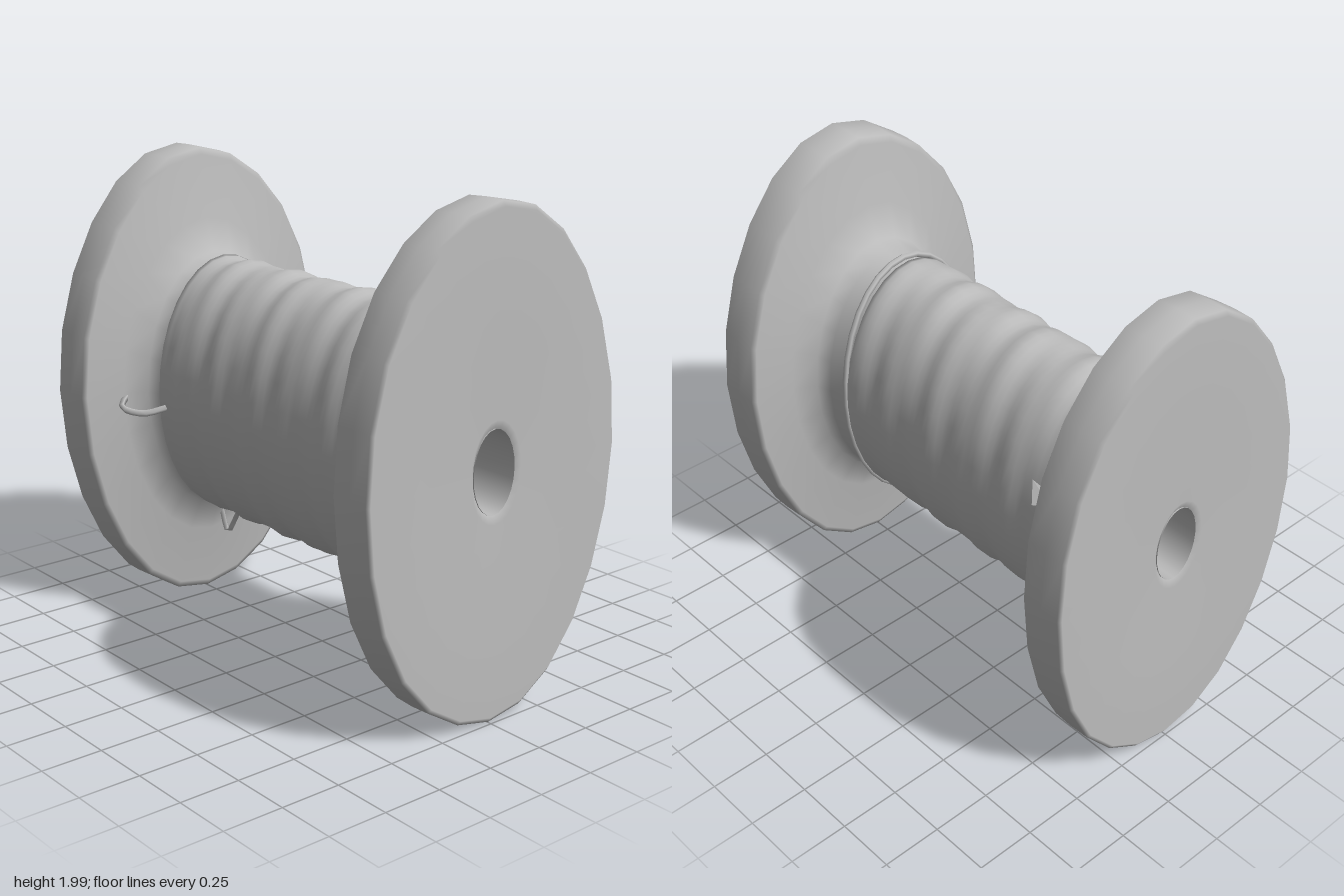
import * as THREE from 'three';
import { mergeVertices } from 'three/addons/utils/BufferGeometryUtils.js';

const WIDTH = 0.63; // the spool is squeezed to an oval across x

export function createModel() {
  const group = new THREE.Group();
  const grey = new THREE.MeshStandardMaterial({ color: 0xbdbdbd, side: THREE.DoubleSide });

  function add(name, geometry) {
    const mesh = new THREE.Mesh(geometry, grey);
    mesh.name = name;
    group.add(mesh);
    return mesh;
  }

  // Oval turned part along z; profile pairs are [radius, z], wobble shifts the radius
  function turned(profile, sides, wobble) {
    const g = new THREE.LatheGeometry(profile.map(([r, z]) => new THREE.Vector2(r, z)), sides);
    g.rotateX(Math.PI / 2);
    const p = g.attributes.position;
    for (let i = 0; i < p.count; i++) {
      const x = p.getX(i), y = p.getY(i);
      const k = 1 + wobble(Math.atan2(y, x), p.getZ(i), Math.hypot(x, y));
      p.setXY(i, x * k * WIDTH, y * k);
    }
    g.deleteAttribute('uv');
    g.deleteAttribute('normal');
    const merged = mergeVertices(g, 1e-4);
    merged.computeVertexNormals();
    return merged;
  }

  // Flanges with a flared neck, mirrored front to back
  const flangeProfile = [
    [0.525, 0.5], [0.53, 0.66], [0.56, 0.725], [0.7, 0.775], [0.96, 0.8], [0.988, 0.815],
    [0.993, 0.9], [0.99, 0.985], [0.97, 0.998], [0.6, 0.99], [0.2, 0.99], [0.165, 0.975],
  ];
  const uneven = (a, z, r) => (r > 0.9 ? 0.005 * Math.sin(5 * a + 1) : 0);
  add('frontFlange', turned(flangeProfile, 24, uneven));
  add('backFlange', turned(flangeProfile, 24, uneven)).rotation.y = Math.PI;

  // Bore through the middle
  add('bore', turned([[0.165, 0.98], [0.165, 0], [0.165, -0.98]], 24, () => 0));

  // Wound thread with soft slanting ridges
  const rows = 44;
  const threadProfile = [[0.5, -0.68]];
  for (let i = 0; i <= rows; i++) threadProfile.push([0.549, -0.66 + (1.19 * i) / rows]);
  threadProfile.push([0.5, 0.54]);
  add('thread', turned(threadProfile, 32, (a, z, r) =>
    r < 0.52 ? 0 : 0.013 * Math.sin(27 * z + a) + 0.008 * Math.sin(44 * z - 2 * a + 1)));

  // Loose turn of thread at the front edge of the winding
  const turn = new THREE.TorusGeometry(0.553, 0.014, 6, 32);
  turn.scale(WIDTH, 1, 1);
  add('looseTurn', turn).rotation.x = 0.04;
  group.children.at(-1).position.z = 0.54;

  // Loose thread ends near the back flange
  function blade(name, ...corners) {
    const g = new THREE.BufferGeometry().setFromPoints(corners.map((c) => new THREE.Vector3(c[0], c[1] - 1, c[2])));
    g.computeVertexNormals();
    add(name, g);
  }
  blade('sideThreadEnd', [0.32, 0.22 + 1, -0.54], [0.48, 1.34, -0.79], [0.36, 1.24, -0.78]);
  blade('sideThreadEndFold', [0.32, 1.22, -0.54], [0.36, 1.24, -0.78], [0.4, 1.19, -0.62]);

  function strand(name, points) {
    const curve = new THREE.CatmullRomCurve3(points.map((c) => new THREE.Vector3(c[0], c[1] - 1, c[2])));
    add(name, new THREE.TubeGeometry(curve, 10, 0.014, 4));
  }
  strand('lowerThreadEnd', [[0.02, 0.48, -0.57], [0.05, 0.37, -0.66], [0.06, 0.28, -0.74], [0.04, 0.4, -0.76]]);
  strand('farThreadEnd', [[-0.33, 0.95, -0.62], [-0.42, 0.93, -0.67], [-0.47, 0.95, -0.75], [-0.4, 1, -0.79]]);

  group.position.y = 1;
  const model = new THREE.Group();
  model.name = 'threadSpool';
  group.name = 'spool';
  model.add(group);
  return model;
}
